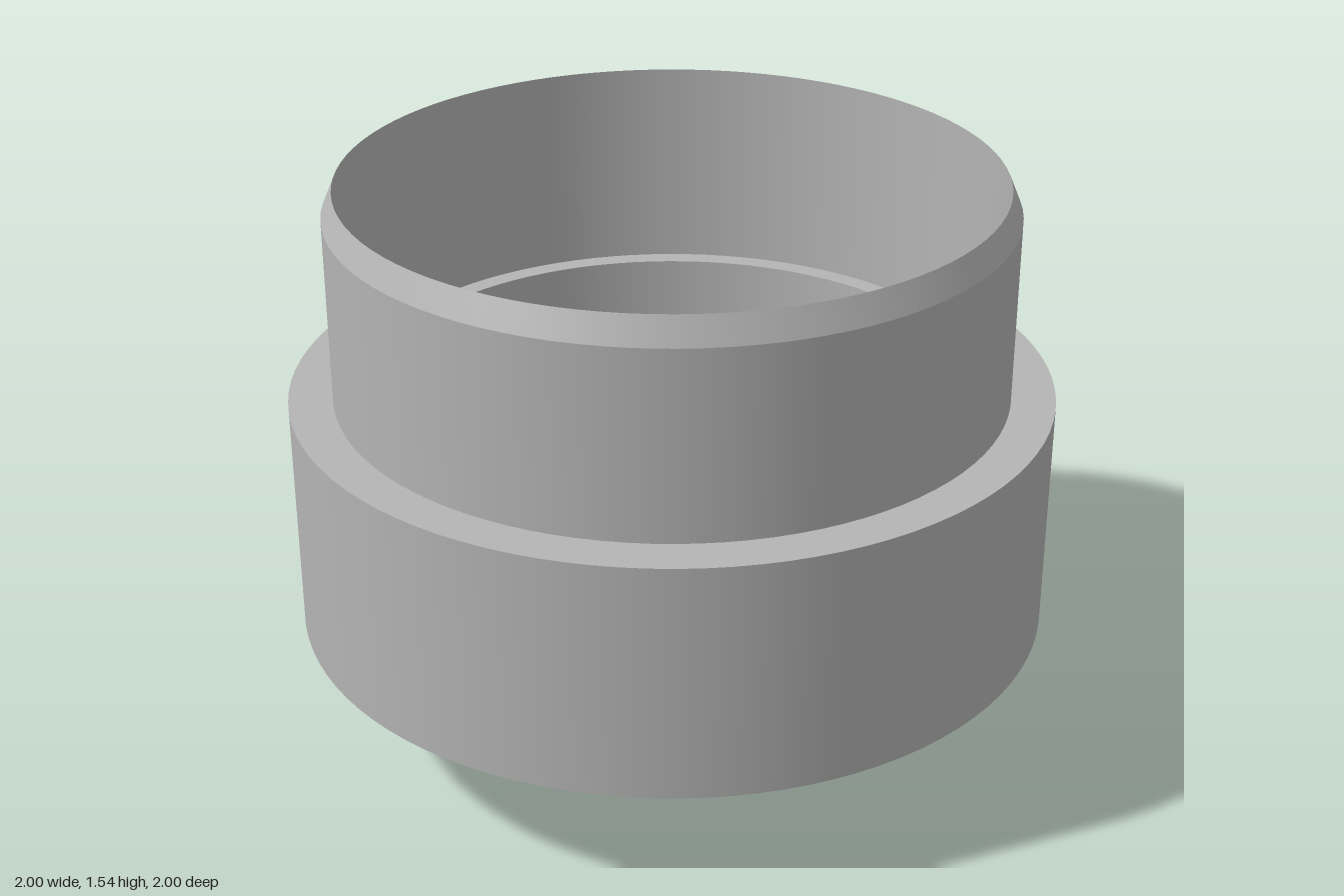
import * as THREE from 'three';

const grey = new THREE.MeshStandardMaterial({ color: 0xb4b4b4 });
grey.name = 'grey plastic';

// Revolves each profile segment separately so the edges between them stay sharp.
function revolve(name, profile) {
  const group = new THREE.Group();
  group.name = name;
  for (let i = 0; i < profile.length - 1; i++) {
    const points = [profile[i], profile[i + 1]].map(([r, y]) => new THREE.Vector2(r, y));
    const mesh = new THREE.Mesh(new THREE.LatheGeometry(points, 96), grey);
    mesh.name = `${name}Face${i + 1}`;
    group.add(mesh);
  }
  return group;
}

export function createModel() {
  const model = new THREE.Group();
  model.name = 'funnel';

  // Spout tip and outside of the cone
  model.add(revolve('coneOutside', [[0.045, 0], [0.068, 0], [0.95, 0.834]]));

  // Hollow skirt: slightly tapered inside, rim, outer wall and shoulder
  model.add(revolve('skirt', [
    [0.95, 0.834], [0.965, 0.55], [0.965, 0.345], [1, 0.345], [1, 0.975], [0.885, 0.975],
  ]));

  // Thin collar with a chamfered lip
  model.add(revolve('collar', [
    [0.885, 0.975], [0.885, 1.47], [0.855, 1.54], [0.855, 0.975],
  ]));

  // Inner ledge, throat wall, cone inside and spout bore
  model.add(revolve('coneInside', [
    [0.855, 0.975], [0.8, 0.975], [0.8, 0.8], [0.045, 0.087], [0.045, 0],
  ]));

  // Six flat-topped ribs meeting at the centre of the cone
  const outline = new THREE.Shape();
  outline.moveTo(0, 0.087);
  outline.lineTo(0.045, 0.087);
  outline.lineTo(0.467, 0.485);
  outline.lineTo(0, 0.485);
  outline.closePath();
  const ribGeometry = new THREE.ExtrudeGeometry(outline, { depth: 0.025, bevelEnabled: false });
  ribGeometry.translate(0, 0, -0.0125);
  for (let i = 0; i < 6; i++) {
    const rib = new THREE.Mesh(ribGeometry, grey);
    rib.name = `rib${i + 1}`;
    rib.rotation.y = (i * Math.PI) / 3;
    model.add(rib);
  }

  return model;
}
